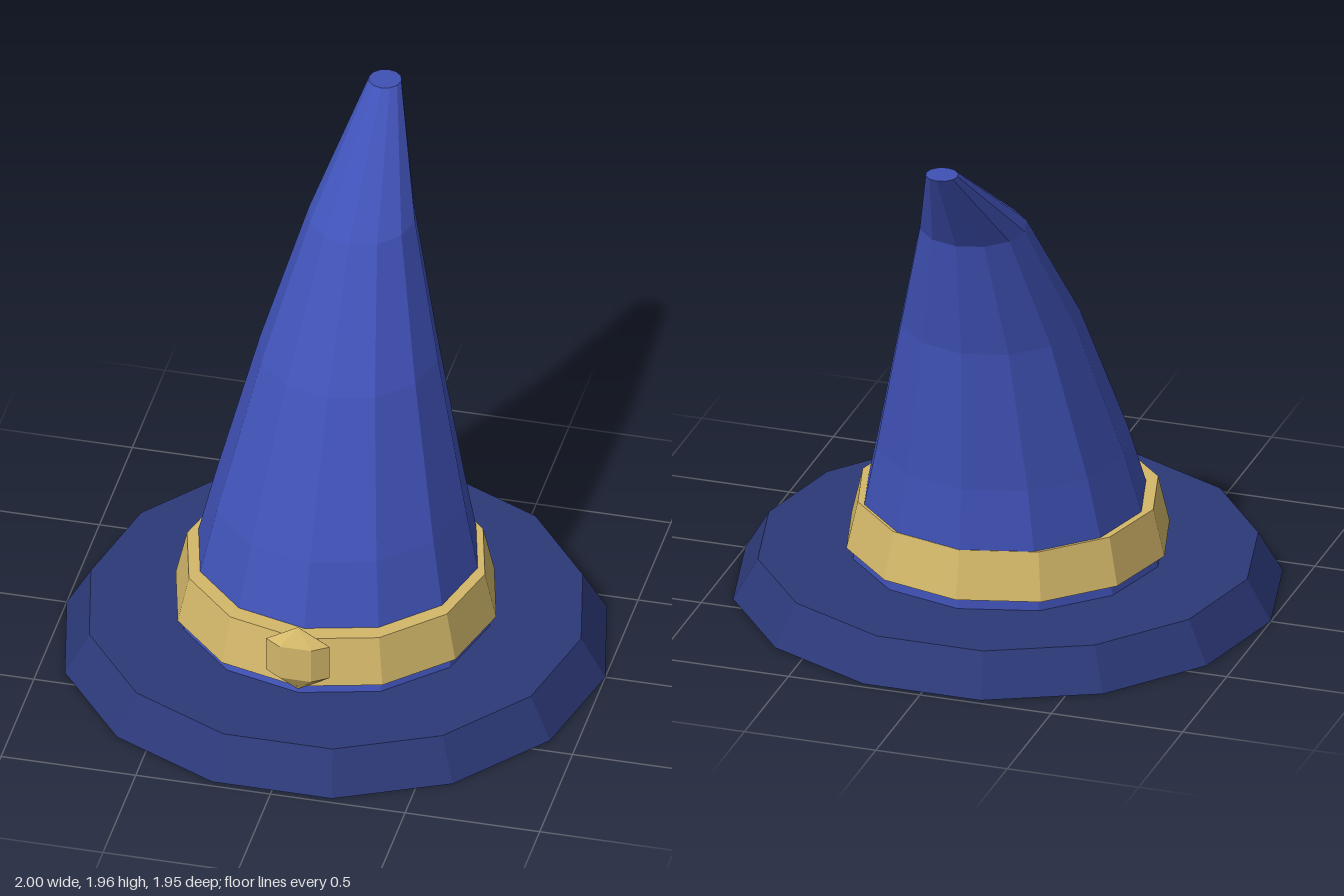
import * as THREE from 'three';

const SIDES = 12;

// Crown cross-sections from brim to tip: height, radius, backward lean
const RINGS = [
  { y: 0.15, r: 0.572, z: 0 },
  { y: 0.61, r: 0.465, z: -0.065 },
  { y: 1.15, r: 0.33, z: -0.2 },
  { y: 1.605, r: 0.197, z: -0.395 },
  { y: 1.96, r: 0.06, z: -0.75 },
];

function flat(name, color) {
  return new THREE.MeshStandardMaterial({ name, color, flatShading: true });
}

// Bend a unit cylinder through the crown rings
function crownGeometry() {
  const steps = RINGS.length - 1;
  const geo = new THREE.CylinderGeometry(1, 1, 1, SIDES, steps);
  const p = geo.attributes.position;
  for (let i = 0; i < p.count; i++) {
    const ring = RINGS[Math.round((p.getY(i) + 0.5) * steps)];
    p.setXYZ(i, p.getX(i) * ring.r, ring.y, p.getZ(i) * ring.r + ring.z);
  }
  geo.computeVertexNormals();
  return geo;
}

export function createModel() {
  const hat = new THREE.Group();
  hat.name = 'pointedHat';

  const crownBlue = flat('crownBlue', 0x3f51b5);
  const brimBlue = flat('brimBlue', 0x2c3978);
  const gold = flat('gold', 0xd4b86a);

  const add = (name, geometry, material) => {
    const mesh = new THREE.Mesh(geometry, material);
    mesh.name = name;
    hat.add(mesh);
    return mesh;
  };

  // Wide brim, with a flat side facing front
  const brim = add('brim', new THREE.CylinderGeometry(0.91, 1, 0.155, 14), brimBlue);
  brim.rotation.y = Math.PI / 14;
  brim.position.y = 0.0775;

  // Crown curving backwards to a blunt tip
  add('crown', crownGeometry(), crownBlue);

  // Band around the base of the crown
  const band = add('band', new THREE.CylinderGeometry(0.553, 0.595, 0.18, SIDES), gold);
  band.position.y = 0.29;

  // Faceted ornament on the front of the band
  const ornament = add('ornament', new THREE.SphereGeometry(0.136, 6, 3), gold);
  ornament.scale.z = 0.4;
  ornament.position.set(0, 0.313, 0.58);

  return hat;
}
